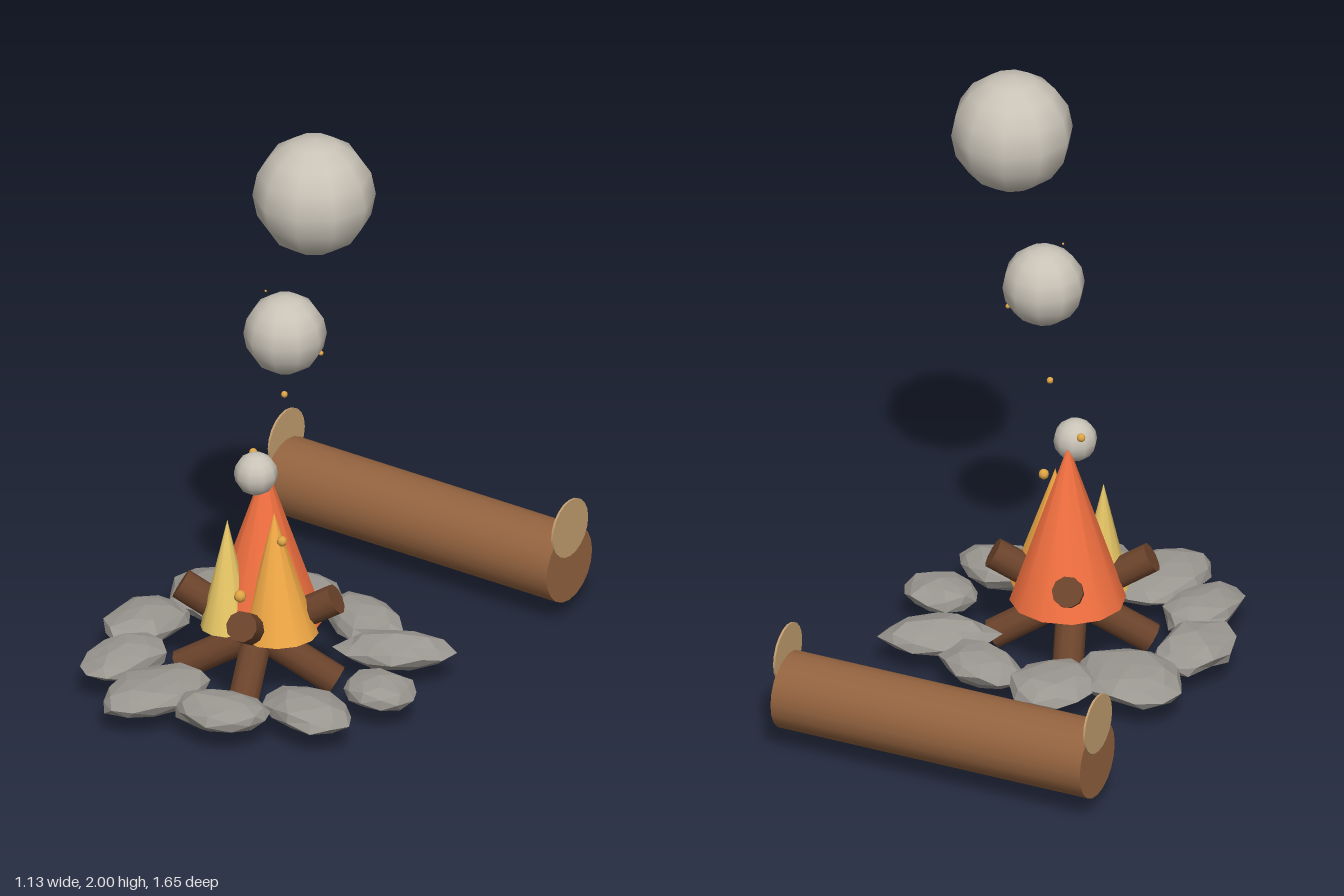
import * as THREE from 'three';
import { mergeVertices } from 'three/addons/utils/BufferGeometryUtils.js';

const mat = (color, flatShading = false) => new THREE.MeshStandardMaterial({ color, flatShading });

function add(parent, name, geometry, material, x, y, z) {
  const mesh = new THREE.Mesh(geometry, material);
  mesh.name = name;
  mesh.position.set(x, y, z);
  parent.add(mesh);
  return mesh;
}

// Small seeded random generator
function seeded(seed) {
  let s = seed;
  return () => (s = (s * 16807) % 2147483647) / 2147483647;
}

// Squashed, faceted boulder with a flat underside
function stoneGeometry(rx, rz, rand) {
  const base = new THREE.IcosahedronGeometry(1, 1);
  base.deleteAttribute('normal');
  base.deleteAttribute('uv');
  const geo = mergeVertices(base, 1e-3);
  const p = geo.attributes.position;
  for (let i = 0; i < p.count; i++) {
    const k = 0.88 + 0.24 * rand();
    p.setXYZ(i, p.getX(i) * k * rx, Math.max(p.getY(i) * k * 0.053, -0.043), p.getZ(i) * k * rz);
  }
  geo.computeVertexNormals();
  return geo;
}

export function createModel() {
  const model = new THREE.Group();
  model.name = 'campfire';

  // Ring of stones: x, z, half length, half width, turn
  const stones = new THREE.Group();
  stones.name = 'stoneRing';
  model.add(stones);
  const stoneMat = mat(0x9a9690, true);
  const rand = seeded(4217);
  [
    [-0.345, -0.03, 0.19, 0.155, -0.6],
    [-0.14, -0.175, 0.14, 0.14, 0],
    [0.115, -0.16, 0.155, 0.105, -0.4],
    [0.325, -0.04, 0.18, 0.11, 0.5],
    [0.445, 0.215, 0.115, 0.1, 0],
    [0.34, 0.46, 0.16, 0.11, -0.1],
    [0.115, 0.625, 0.155, 0.11, 0.2],
    [-0.14, 0.63, 0.2, 0.13, 1.4],
    [-0.345, 0.485, 0.16, 0.105, 1.4],
    [-0.435, 0.245, 0.165, 0.12, 1.6],
  ].forEach(([x, z, rx, rz, turn]) => {
    add(stones, 'stone', stoneGeometry(rx, rz, rand), stoneMat, x, 0.104, z).rotation.y = turn;
  });

  // Four firewood sticks leaning through the centre
  const wood = new THREE.Group();
  wood.name = 'firewood';
  model.add(wood);
  const stickGeo = new THREE.CylinderGeometry(0.05, 0.05, 0.58, 10);
  const stickMat = mat(0x6b432b);
  const up = new THREE.Vector3(0, 1, 0);
  for (let i = 0; i < 4; i++) {
    const a = 1.18 + (i * Math.PI) / 2;
    const dir = new THREE.Vector3(Math.cos(a) * 0.866, 0.5, Math.sin(a) * 0.866);
    add(wood, 'stick', stickGeo, stickMat, -0.005, 0.19, 0.24).quaternion.setFromUnitVectors(up, dir);
  }

  // Flames: colour, base radius, base centre, tip
  const flames = new THREE.Group();
  flames.name = 'flames';
  model.add(flames);
  [
    ['redFlame', 0xf27040, 0.185, [-0.02, 0.215, 0.175], [-0.02, 0.76, 0.18]],
    ['orangeFlame', 0xf0a845, 0.122, [0.085, 0.215, 0.25], [0.055, 0.63, 0.24]],
    ['yellowFlame', 0xe8c766, 0.085, [-0.08, 0.215, 0.305], [-0.09, 0.585, 0.29]],
  ].forEach(([name, color, r, b, t]) => {
    const base = new THREE.Vector3(...b);
    const axis = new THREE.Vector3(...t).sub(base);
    const h = axis.length();
    const geo = new THREE.ConeGeometry(r, h, 12).translate(0, h / 2, 0);
    add(flames, name, geo, mat(color), ...b).quaternion.setFromUnitVectors(up, axis.normalize());
  });

  // Smoke puffs growing as they rise
  const smokeMat = mat(0xc9c3b7);
  [
    [-0.015, 0.75, 0.24, 0.07],
    [0.095, 1.28, 0.237, 0.132],
    [0.205, 1.805, 0.235, 0.195],
  ].forEach(([x, y, z, r]) => {
    add(model, 'smokePuff', new THREE.SphereGeometry(r, 10, 8), smokeMat, x, y, z);
  });

  // Embers shrinking as they rise
  const emberMat = mat(0xdfa545);
  [
    [-0.01, 0.355, 0.335, 0.02],
    [0.12, 0.57, 0.29, 0.017],
    [-0.06, 0.79, 0.19, 0.014],
    [0.025, 1.0, 0.14, 0.011],
    [0.19, 1.21, 0.175, 0.008],
    [0.04, 1.425, 0.265, 0.004],
  ].forEach(([x, y, z, r]) => {
    add(model, 'ember', new THREE.SphereGeometry(r, 8, 6), emberMat, x, y, z);
  });

  // Seat log behind the fire, with a pale disc raised at each end
  const seat = new THREE.Group();
  seat.name = 'seatLog';
  seat.position.set(-0.011, 0.185, -0.707);
  model.add(seat);
  const logGeo = new THREE.CylinderGeometry(0.126, 0.126, 1.086, 20).rotateZ(Math.PI / 2);
  add(seat, 'log', logGeo, mat(0x94633f), 0, 0, 0);
  const discGeo = new THREE.CylinderGeometry(0.098, 0.098, 0.007, 20).rotateZ(Math.PI / 2);
  const discMat = mat(0xc49f70);
  for (const side of [-1, 1]) add(seat, 'endDisc', discGeo, discMat, side * 0.544, 0.13, 0);

  return model;
}
